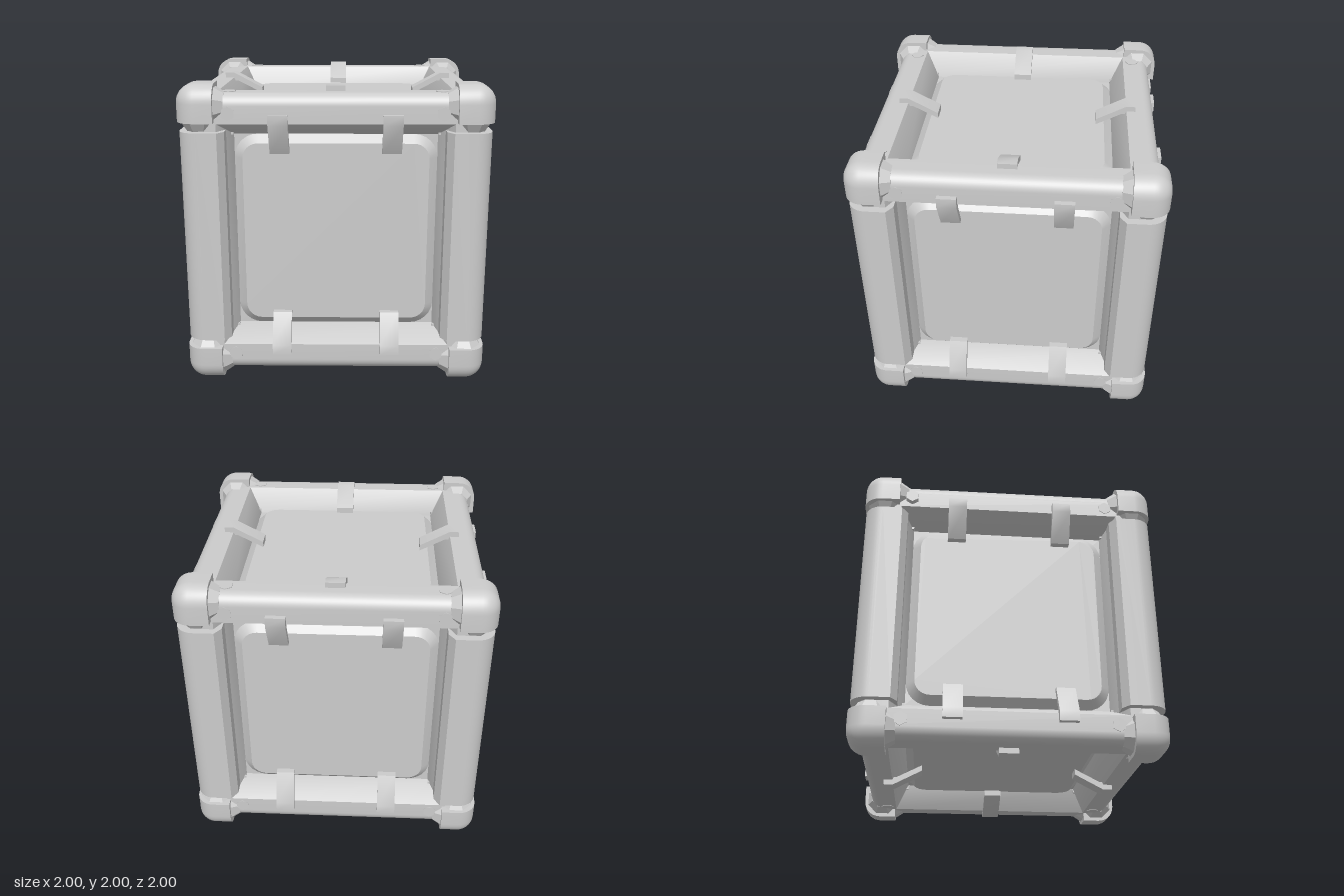
import * as THREE from 'three';
import { toCreasedNormals } from 'three/addons/utils/BufferGeometryUtils.js';
import { RoundedBoxGeometry } from 'three/addons/geometries/RoundedBoxGeometry.js';

const material = new THREE.MeshStandardMaterial({ color: 0xcccccc });
const Q = Math.PI / 2;

function add(parent, geometry, name, position = [0, 0, 0], rotation = [0, 0, 0]) {
  const mesh = new THREE.Mesh(geometry, material);
  mesh.name = name;
  mesh.position.set(...position);
  mesh.rotation.set(...rotation);
  parent.add(mesh);
  return mesh;
}

// Extrudes a shape along z, centred on z = 0
function bar(shape, length) {
  const g = new THREE.ExtrudeGeometry(shape, { depth: length, bevelEnabled: false, curveSegments: 6 });
  g.translate(0, 0, -length / 2);
  return toCreasedNormals(g, 0.5);
}

// Cross-section of an edge bar: rounded outer corner, sloped inner sides
function edgeShape(outer, radius, flat, inner, depth) {
  const s = new THREE.Shape();
  s.moveTo(inner, inner);
  s.lineTo(depth, inner);
  s.lineTo(outer, flat);
  s.lineTo(outer, outer - radius);
  s.absarc(outer - radius, outer - radius, radius, 0, Q, false);
  s.lineTo(flat, outer);
  s.lineTo(inner, depth);
  s.closePath();
  return s;
}

function roundedSquare(h, r) {
  const s = new THREE.Shape();
  s.absarc(h - r, h - r, r, 0, Q, false);
  s.absarc(r - h, h - r, r, Q, 2 * Q, false);
  s.absarc(r - h, r - h, r, 2 * Q, 3 * Q, false);
  s.absarc(h - r, r - h, r, 3 * Q, 4 * Q, false);
  s.closePath();
  return s;
}

// Corner cap: rounded outside, cut flat on its three inner sides
function capGeometry() {
  const g = new RoundedBoxGeometry(0.4, 0.4, 0.4, 5, 0.12);
  g.translate(0.8, 0.8, 0.8);
  const p = g.attributes.position;
  for (let i = 0; i < p.count; i++) {
    p.setXYZ(i, Math.max(p.getX(i), 0.76), Math.max(p.getY(i), 0.76), Math.max(p.getZ(i), 0.76));
  }
  return toCreasedNormals(g, 0.6);
}

// Bent clip reaching from the beam over the panel
function clipGeometry() {
  const s = new THREE.Shape([
    [0.81, 0.92], [0.81, 0.975], [0.745, 0.975], [0.547, 0.87], [0.547, 0.83], [0.72, 0.92],
  ].map(([u, h]) => new THREE.Vector2(u, h)));
  const g = bar(s, 0.125);
  const [x, y, z] = [new THREE.Vector3(1, 0, 0), new THREE.Vector3(0, 1, 0), new THREE.Vector3(0, 0, 1)];
  return g.applyMatrix4(new THREE.Matrix4().makeBasis(y, z, x));
}

export function createModel() {
  const root = new THREE.Group();
  root.name = 'crate';
  const body = new THREE.Group();
  body.name = 'crateBody';
  body.position.y = 1;
  root.add(body);

  add(body, new THREE.BoxGeometry(1.54, 1.54, 1.54), 'core');

  // Twelve edge beams, four along each axis
  const beam = bar(edgeShape(0.94, 0.08, 0.75, 0.66, 0.77), 1.6);
  for (const [axis, turn] of [['X', [0, Q, 0]], ['Y', [Q, 0, 0]], ['Z', [0, 0, 0]]]) {
    const set = new THREE.Group();
    set.name = 'beams' + axis;
    set.rotation.set(...turn);
    for (let k = 0; k < 4; k++) add(set, beam, 'beam', [0, 0, 0], [0, 0, k * Q]);
    body.add(set);
  }

  // Raised covers on the vertical edges
  const cover = bar(edgeShape(0.99, 0.12, 0.74, 0.7, 0.93), 1.4);
  const covers = new THREE.Group();
  covers.name = 'postCovers';
  covers.rotation.x = Q;
  for (let k = 0; k < 4; k++) add(covers, cover, 'postCover', [0, 0, 0], [0, 0, k * Q]);
  body.add(covers);

  // Eight corner caps, each with a tapered neck along its three edges
  const cap = capGeometry();
  const neck = new THREE.CylinderGeometry(0.13, 0.085, 0.07, 8).rotateY(Math.PI / 8).toNonIndexed();
  neck.computeVertexNormals();
  for (let i = 0; i < 8; i++) {
    const corner = new THREE.Group();
    corner.name = 'corner';
    corner.rotation.set(i < 4 ? 0 : Math.PI, (i % 4) * Q, 0);
    add(corner, cap, 'cornerCap');
    add(corner, neck, 'cornerNeck', [0.86, 0.735, 0.86]);
    add(corner, neck, 'cornerNeck', [0.735, 0.86, 0.86], [0, 0, -Q]);
    add(corner, neck, 'cornerNeck', [0.86, 0.86, 0.735], [Q, 0, 0]);
    body.add(corner);
  }

  // Six faces: raised panel, bolts and clips
  const panel = toCreasedNormals(new THREE.ExtrudeGeometry(roundedSquare(0.605, 0.1), {
    depth: 0.02, bevelEnabled: true, bevelSize: 0.055, bevelThickness: 0.05, bevelSegments: 1, curveSegments: 3,
  }), 0.5);
  const bolt = new THREE.CylinderGeometry(0.047, 0.047, 0.04, 6).rotateX(Q);
  const clip = clipGeometry();
  const faces = [
    ['front', 0, 0], ['left', 0, Q], ['back', 0, 2 * Q], ['right', 0, -Q], ['top', -Q, 0], ['bottom', Q, 0],
  ];
  for (const [name, rx, ry] of faces) {
    const face = new THREE.Group();
    face.name = name + 'Face';
    face.rotation.set(rx, ry, 0);
    add(face, panel, 'panel', [0, 0, 0.75]);
    for (const x of [-0.675, 0.675]) {
      for (const y of [-0.815, 0.815]) {
        // One bolt stands proud of the rest
        const proud = name === 'right' && x < 0 && y > 0;
        add(face, bolt, 'bolt', [x, y, proud ? 0.957 : 0.925]);
      }
    }
    if (rx === 0) {
      for (const x of [-0.36, 0.36]) {
        add(face, clip, 'clip', [x, 0, 0]);
        add(face, clip, 'clip', [x, 0, 0], [0, 0, Math.PI]);
      }
    } else {
      for (let k = 0; k < 4; k++) add(face, clip, 'clip', [0, 0, 0], [0, 0, k * Q]);
    }
    body.add(face);
  }
  return root;
}
